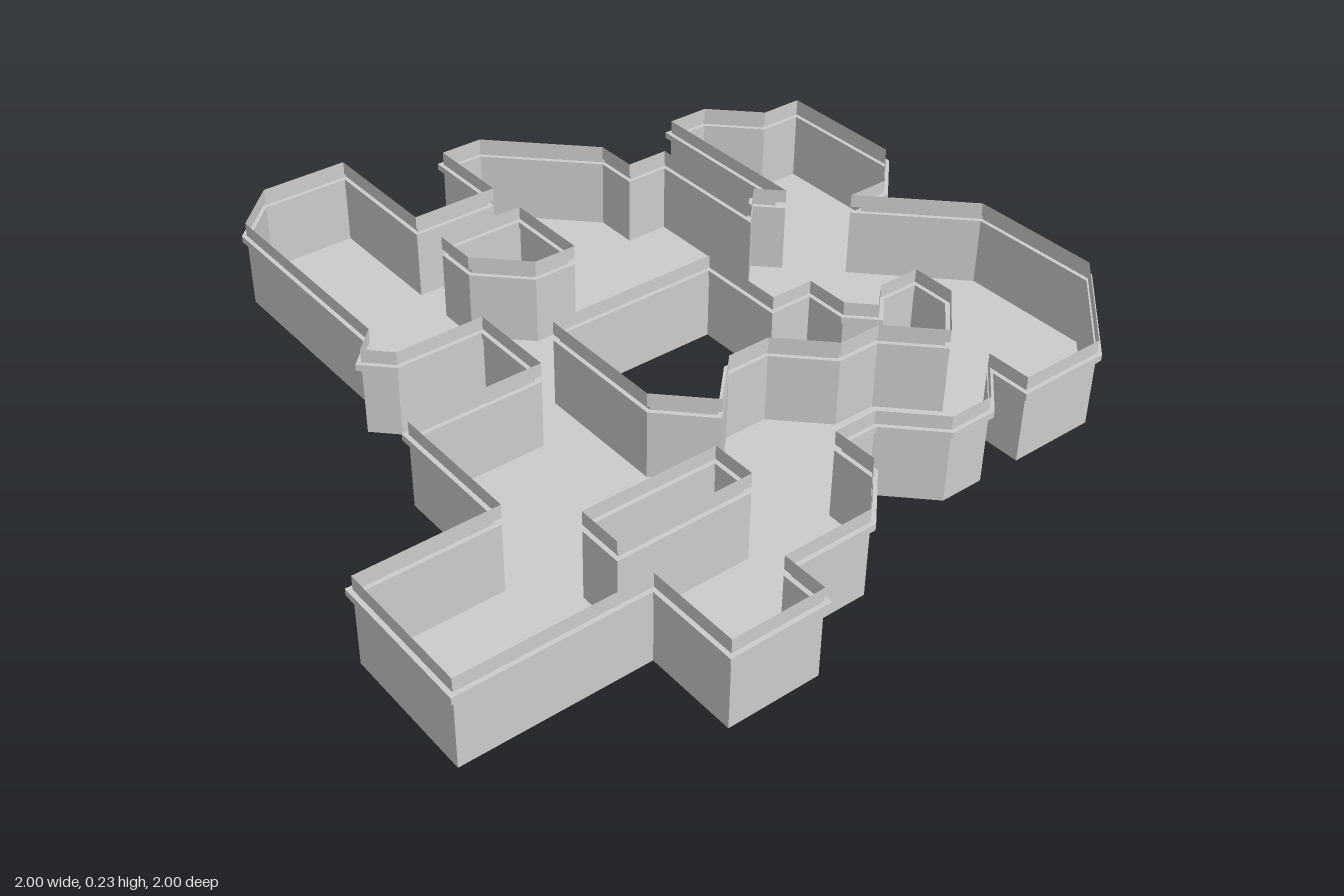
import * as THREE from 'three';

// Floor plan corners in grid cells (x, z), clockwise seen from above
const OUTLINE = [
  [5, 0], [7, 0], [7, 3], [9, 3], [9, 1], [10, 1], [12, 3], [12, 4], [13, 4], [13, 7],
  [13.5, 6.5], [14, 7], [14, 3], [15, 3], [16, 4], [17, 4], [17, 7], [16, 8], [15, 8],
  [17, 10], [17, 13], [15, 15], [13, 15], [13, 14], [12, 15], [11, 15], [10, 14], [9, 14],
  [9, 15], [8, 16], [6, 16], [6, 17], [4, 17], [4, 15], [0, 15], [0, 12], [3, 12], [3, 9],
  [6, 9], [6, 7], [4, 7], [3.5, 6.5], [4, 6], [4, 1],
];
const HOLES = [
  [[7, 4], [9, 4], [9, 6], [8, 6], [7, 5]],
  [[7, 8], [11, 8], [11, 10], [12, 10], [12, 11], [12.5, 11.5], [13, 11], [14, 11], [14, 12],
    [13, 13], [12, 12], [11, 12], [10, 11], [9, 11], [8, 12], [7, 11]],
  [[4, 13], [7, 13], [7, 14], [4, 14]],
];
const CELL = 0.1163;
const toPoints = (cells) => cells.map(([i, j]) => new THREE.Vector2((i - 8.5) * CELL, (j - 8.5) * CELL));

// Mitred offset of a closed loop away from the floor
function offsetLoop(pts, d) {
  const n = pts.length;
  const normal = (a, b) => new THREE.Vector2(b.y - a.y, a.x - b.x).normalize();
  return pts.map((p, i) => {
    const n1 = normal(pts[(i + n - 1) % n], p);
    const n2 = normal(p, pts[(i + 1) % n]);
    return n1.clone().add(n2).multiplyScalar(d / (1 + n1.dot(n2))).add(p);
  });
}

// Flat-faced strip swept round a loop through [offset, height] profile points
function sweep(loop, profile) {
  const pos = [];
  const rings = profile.map(([d, y]) => offsetLoop(loop, d).map((p) => [p.x, y, p.y]));
  for (let r = 0; r < rings.length - 1; r++) {
    for (let i = 0; i < loop.length; i++) {
      const k = (i + 1) % loop.length;
      const [a, b, c, d] = [rings[r][i], rings[r][k], rings[r + 1][i], rings[r + 1][k]];
      pos.push(...a, ...c, ...b, ...b, ...c, ...d);
    }
  }
  const geo = new THREE.BufferGeometry();
  geo.setAttribute('position', new THREE.Float32BufferAttribute(pos, 3));
  geo.computeVertexNormals();
  return geo;
}

export function createModel() {
  const group = new THREE.Group();
  group.name = 'floorPlan';
  const grey = new THREE.MeshStandardMaterial({ color: 0xcccccc, side: THREE.DoubleSide });
  grey.name = 'light grey';
  const add = (name, geo) => {
    const mesh = new THREE.Mesh(geo, grey);
    mesh.name = name;
    group.add(mesh);
  };

  // Floor with courtyard openings
  const shape = new THREE.Shape(toPoints(OUTLINE));
  shape.holes = HOLES.map((h) => new THREE.Path(toPoints(h)));
  add('floor', new THREE.ShapeGeometry(shape).rotateX(Math.PI / 2));

  // Thin walls, projecting trim and parapet round every edge
  const loops = [toPoints(OUTLINE), ...HOLES.map((h) => toPoints(h).reverse())];
  loops.forEach((loop, i) => {
    const place = i === 0 ? 'outer' : 'courtyard' + i;
    add(place + 'Wall', sweep(loop, [[0, 0], [0, 0.18]]));
    add(place + 'Trim', sweep(loop, [[0, 0.18], [0.011, 0.18], [0.011, 0.197], [0, 0.197]]));
    add(place + 'Parapet', sweep(loop, [[0, 0.197], [0, 0.232]]));
  });
  return group;
}
